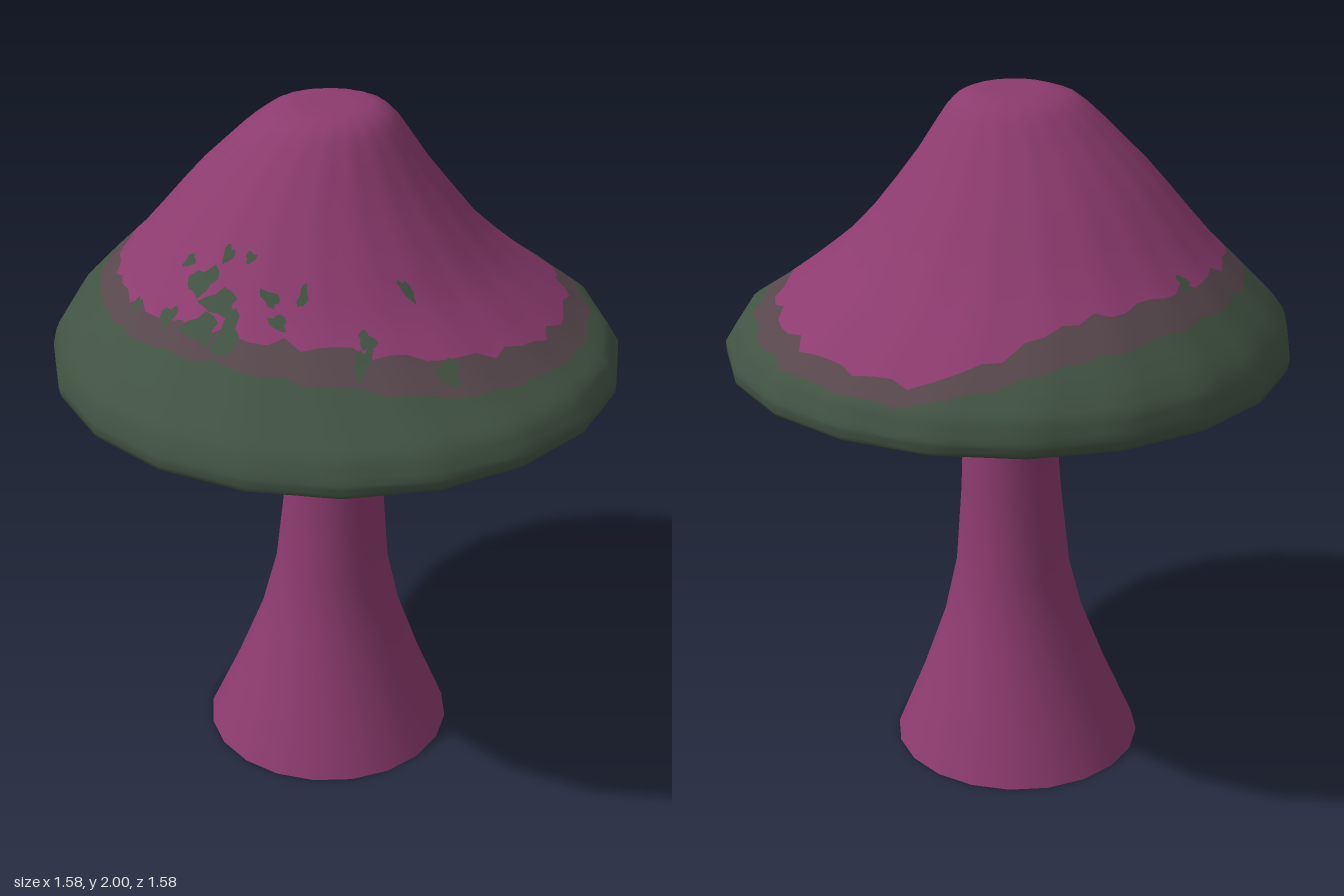
import * as THREE from 'three';

const RAD = Math.PI / 180;
const SIDES = 20, COLS = 80, START = 10.5 * RAD;

// Cap profile from tip to lower lip: radius, height, sideways shift
const CAP = [
  [0, 2.0, -0.02], [0.11, 2.0, -0.015], [0.165, 1.98, -0.025], [0.21, 1.94, -0.035],
  [0.335, 1.79, -0.065], [0.49, 1.6, -0.07], [0.6, 1.5, -0.06], [0.715, 1.4, -0.04],
  [0.775, 1.345, -0.015], [0.8, 1.285, -0.003], [0.795, 1.25, 0], [0.75, 1.232, 0],
];
// Radius of the colour borders every 30 degrees, from +x towards +z
const TOP_EDGE = [0.67, 0.62, 0.56, 0.55, 0.56, 0.55, 0.54, 0.54, 0.57, 0.72, 0.71, 0.69];
const BAND_EDGE = [0.73, 0.7, 0.64, 0.61, 0.62, 0.61, 0.61, 0.62, 0.66, 0.765, 0.76, 0.74];

const lerp = THREE.MathUtils.lerp;

function around(list, a) {
  const f = ((a / RAD / 30) % 12 + 12) % 12, i = Math.floor(f);
  return lerp(list[i], list[(i + 1) % 12], f - i);
}

// Sample the profile at a fractional index
function profile(t) {
  const i = Math.min(Math.floor(t), CAP.length - 2);
  return CAP[i].map((v, k) => lerp(v, CAP[i + 1][k], t - i));
}

// Fractional profile index at a given radius on the upper surface
function indexAt(r) {
  let i = 0;
  while (i < 8 && CAP[i + 1][0] < r) i++;
  return i + Math.min((r - CAP[i][0]) / (CAP[i + 1][0] - CAP[i][0]), 1);
}

// Radius factor that turns the circle into a many-sided polygon
function polygon(a) {
  const step = 2 * Math.PI / SIDES;
  const d = (((a - START) % step) + step) % step - step / 2;
  return Math.cos(step / 2) / Math.cos(d);
}

function capHeight(x, z) {
  let cx = 0, y = 0;
  for (let k = 0; k < 6; k++) {
    const r = Math.hypot(x - cx, z) / polygon(Math.atan2(z, x - cx));
    [, y, cx] = profile(indexAt(r));
  }
  return y;
}

function capGeometry() {
  const bands = [14, 3, 14], rows = 31;
  const pos = [], index = [];
  const geo = new THREE.BufferGeometry();
  const columns = [];
  for (let j = 0; j < COLS; j++) {
    const a = START + j * 2 * Math.PI / COLS;
    const wobble = 0.008 * Math.sin(a * 23) + 0.006 * Math.sin(a * 37 + 1);
    const cuts = [0, indexAt(around(TOP_EDGE, a) + wobble),
      indexAt(around(BAND_EDGE, a) + wobble * 0.5), CAP.length - 1];
    const ts = [0];
    bands.forEach((n, b) => {
      for (let k = 1; k <= n; k++) ts.push(lerp(cuts[b], cuts[b + 1], k / n));
    });
    columns.push({ a, ts });
  }
  for (let i = 0; i <= rows; i++) {
    for (const { a, ts } of columns) {
      const [r, y, cx] = profile(ts[i]);
      const rr = r * polygon(a);
      pos.push(cx + rr * Math.cos(a), y, rr * Math.sin(a));
    }
  }
  for (let i = 0; i < rows; i++) {
    for (let j = 0; j < COLS; j++) {
      const n = (j + 1) % COLS;
      const p = i * COLS + j, q = i * COLS + n, s = p + COLS, u = q + COLS;
      index.push(p, q, s, q, u, s);
    }
  }
  geo.setAttribute('position', new THREE.Float32BufferAttribute(pos, 3));
  geo.setIndex(index);
  let first = 0;
  bands.forEach((n, b) => {
    geo.addGroup(first * COLS * 6, n * COLS * 6, b);
    first += n;
  });
  geo.computeVertexNormals();
  // The tip row is a single point, so its normals face straight up
  for (let j = 0; j < COLS; j++) geo.attributes.normal.setXYZ(j, 0, 1, 0);
  return geo;
}

// Thin irregular patch lying on the cap
function patchGeometry(x, z, w, d, seed) {
  const geo = new THREE.CircleGeometry(1, 12);
  geo.rotateX(-Math.PI / 2);
  const p = geo.attributes.position;
  for (let i = 0; i < p.count; i++) {
    const a = Math.atan2(p.getZ(i), p.getX(i));
    const k = 1 + 0.25 * Math.sin(3 * a + seed) + 0.15 * Math.sin(5 * a + seed * 2);
    const px = x + p.getX(i) * w * k, pz = z + p.getZ(i) * d * k;
    p.setXYZ(i, px, capHeight(px, pz) + 0.007, pz);
  }
  geo.computeVertexNormals();
  return geo;
}

export function createModel() {
  const model = new THREE.Group();
  model.name = 'mushroom';
  const material = (name, color, side = THREE.FrontSide) => {
    const m = new THREE.MeshStandardMaterial({ color, side });
    m.name = name;
    return m;
  };
  const magenta = material('magenta', 0x8c3b6e, THREE.DoubleSide);
  const brown = material('muted brown', 0x57474c);
  const green = material('dark green', 0x415343);
  const add = (name, geo, mat) => {
    const mesh = new THREE.Mesh(geo, mat);
    mesh.name = name;
    model.add(mesh);
  };

  // Flared, hollow stem leaning slightly
  const stemPoints = [[0.365, 0.005], [0.278, 0.21], [0.208, 0.4], [0.168, 0.57],
    [0.147, 0.8], [0.13, 1.1], [0.14, 1.232]].map(([r, y]) => new THREE.Vector2(r, y));
  const stem = new THREE.LatheGeometry(stemPoints, SIDES);
  const sp = stem.attributes.position;
  for (let i = 0; i < sp.count; i++) {
    const k = sp.getY(i) / 1.23;
    sp.setX(i, sp.getX(i) + lerp(-0.03, 0.005, k));
    sp.setZ(i, sp.getZ(i) + lerp(0.003, 0.012, k));
  }
  add('stem', stem, magenta);

  // Cap: magenta crown, brown band, green rim
  add('cap', capGeometry(), [magenta, brown, green]);

  // Flat underside
  const under = new THREE.CircleGeometry(0.75, SIDES, START);
  under.rotateX(Math.PI / 2);
  under.translate(0, 1.232, 0);
  add('capUnderside', under, green);

  // Green patches creeping up the crown: x, z, half width, half depth
  [[-0.24, 0.405, 0.018, 0.012], [-0.125, 0.405, 0.016, 0.016], [-0.18, 0.45, 0.045, 0.025],
    [-0.11, 0.49, 0.05, 0.025], [-0.06, 0.55, 0.03, 0.05], [-0.06, 0.405, 0.015, 0.01],
    [0.02, 0.46, 0.028, 0.012], [0.06, 0.495, 0.024, 0.016], [0.1, 0.43, 0.012, 0.02],
    [0.28, 0.43, 0.024, 0.018], [0.29, 0.48, 0.018, 0.04], [0.32, 0.265, 0.025, 0.012],
    [-0.37, 0.47, 0.015, 0.02], [-0.25, 0.515, 0.025, 0.022], [-0.14, 0.545, 0.05, 0.03],
    [0.48, 0.36, 0.03, 0.035], [-0.565, -0.17, 0.018, 0.018],
  ].forEach(([x, z, w, d], i) => add('greenPatch', patchGeometry(x, z, w, d, i * 1.7), green));

  return model;
}
